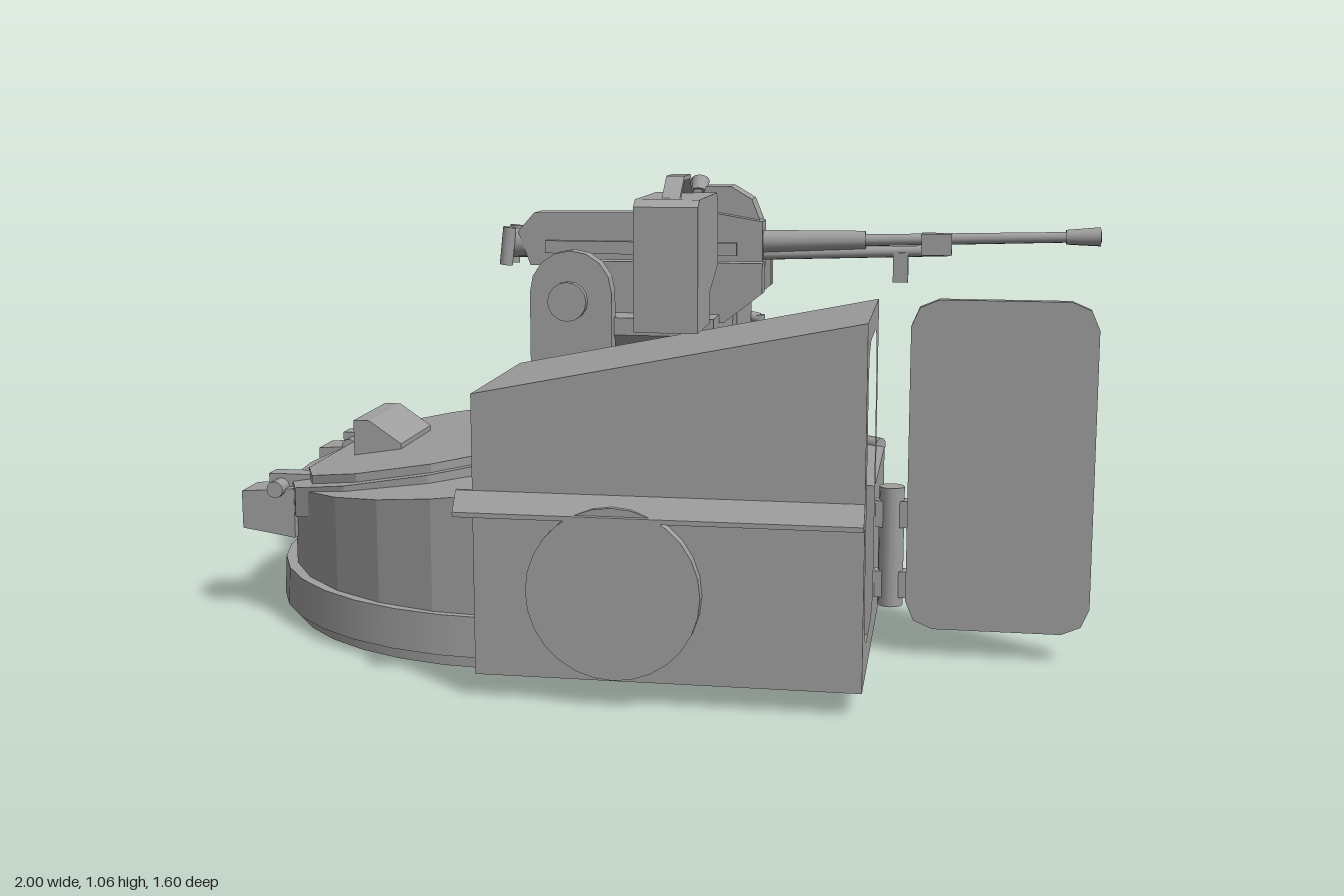
import * as THREE from 'three';

const grey = new THREE.MeshStandardMaterial({ color: 0xa0a0a0 });
grey.name = 'armour grey';

export function createModel() {
  const root = new THREE.Group();
  const add = (name, geo, x = 0, y = 0, z = 0) => {
    const m = new THREE.Mesh(geo, grey);
    m.name = name;
    m.position.set(x, y, z);
    root.add(m);
    return m;
  };
  // box given by its limits
  const box = (name, x0, x1, y0, y1, z0, z1) =>
    add(name, new THREE.BoxGeometry(x1 - x0, y1 - y0, z1 - z0), (x0 + x1) / 2, (y0 + y1) / 2, (z0 + z1) / 2);
  // cylinder between two points
  const rod = (name, a, b, r, r2 = r, n = 12) => {
    const p = new THREE.Vector3(...a), q = new THREE.Vector3(...b), d = q.clone().sub(p);
    const m = add(name, new THREE.CylinderGeometry(r2, r, d.length(), n));
    m.position.copy(p).add(q).multiplyScalar(0.5);
    m.quaternion.setFromUnitVectors(new THREE.Vector3(0, 1, 0), d.normalize());
    return m;
  };
  const poly = pts => new THREE.Shape(pts.map(p => new THREE.Vector2(...p)));
  const ext = (s, depth) => new THREE.ExtrudeGeometry(s, { depth, bevelEnabled: false });
  // outlines in (x,y), (z,y) and (x,z), extruded along the third axis
  const alongZ = (pts, z0, z1) => ext(poly(pts), z1 - z0).translate(0, 0, z0);
  const alongX = (pts, x0, x1, hole) => {
    const flip = a => a.map(([z, y]) => [-z, y]);
    const s = poly(flip(pts));
    if (hole) s.holes.push(poly(flip(hole)));
    return ext(s, x1 - x0).rotateY(Math.PI / 2).translate(x0, 0, 0);
  };
  const alongY = (pts, y0, y1) =>
    ext(poly(pts.map(([x, z]) => [x, -z])), y1 - y0).rotateX(-Math.PI / 2).translate(0, y0, 0);
  const bend = (geo, rule) => {
    const p = geo.attributes.position;
    for (let i = 0; i < p.count; i++) p.setY(i, rule(p.getX(i), p.getY(i), p.getZ(i)));
    geo.computeVertexNormals();
    return geo;
  };
  // rectangle with cut corners
  const cut = (a0, a1, b0, b1, c) => [[a0 + c, b0], [a1 - c, b0], [a1 - c * 0.3, b0 + c * 0.3], [a1, b0 + c], [a1, b1 - c],
    [a1 - c * 0.3, b1 - c * 0.3], [a1 - c, b1], [a0 + c, b1], [a0 + c * 0.3, b1 - c * 0.3], [a0, b1 - c], [a0, b0 + c], [a0 + c * 0.3, b0 + c * 0.3]];

  // turret ring
  const CX = -0.305, CZ = -0.06;
  add('baseRing', new THREE.CylinderGeometry(0.645, 0.645, 0.04, 36), CX, 0.02, CZ);
  add('turretRing', new THREE.CylinderGeometry(0.665, 0.67, 0.09, 36), CX, 0.075, CZ);

  // half-round cupola with a sloping roof
  const arc = [];
  for (let i = 0; i <= 14; i++) {
    const t = Math.PI / 2 + Math.PI * i / 14;
    arc.push([CX + 0.01 + 0.65 * Math.cos(t), CZ + 0.65 * Math.sin(t)]);
  }
  add('cupola', bend(alongY(arc, 0.1, 0.39), (x, y) => y > 0.3 ? 0.39 + (x + 0.3) * 0.13 : y));

  // tilted hatch with rim, lid and viewer
  const tilt = (geo, lift) => bend(geo, (x, y) => y + lift + (x + 0.3) * 0.16);
  add('hatchRim', tilt(alongY(cut(-0.9, -0.3, -0.48, 0.39, 0.2), 0, 0.07), 0.345));
  add('hatchLid', tilt(alongY(cut(-0.86, -0.32, -0.45, 0.36, 0.18), 0, 0.03), 0.405));
  add('hatchViewer', alongZ([[-0.78, 0.34], [-0.66, 0.36], [-0.66, 0.39], [-0.74, 0.445], [-0.78, 0.445]], -0.17, 0.08));
  for (const z of [-0.32, 0.21]) {
    add('hatchHinge', alongZ([[-1, 0.21], [-0.87, 0.19], [-0.87, 0.31], [-1, 0.3]], z - 0.05, z + 0.05));
    box('hingeArm', -0.94, -0.82, 0.29, 0.34, z - 0.025, z + 0.025);
    rod('hingePin', [-0.91, 0.31, z - 0.07], [-0.91, 0.31, z + 0.07], 0.02);
  }
  box('hatchStop', -0.895, -0.87, 0.28, 0.325, -0.26, 0.16);

  // middle hull with angled rear corner
  add('hull', alongY([[-0.3, 0.37], [0.51, 0.37], [0.51, -0.07], [0.14, -0.38], [-0.3, -0.38]], 0.05, 0.39));
  rod('hullCap', [0.5, 0.225, 0.05], [0.53, 0.225, 0.05], 0.075, 0.075, 24);
  const rear = new THREE.Group();
  rear.name = 'rearPanel';
  rear.position.set(0.325, 0.225, -0.225);
  rear.rotation.y = Math.atan2(0.31, -0.37);
  const part = (name, geo, x, y, z) => {
    const m = new THREE.Mesh(geo, grey);
    m.name = name;
    m.position.set(x, y, z);
    rear.add(m);
  };
  part('panelPlate', ext(poly(cut(-0.2, 0.2, -0.13, 0.13, 0.03)), 0.025), 0, 0, 0);
  for (const y of [-0.055, 0.055]) part('panelStrap', new THREE.BoxGeometry(0.16, 0.04, 0.03), 0.11, y, 0.035);
  root.add(rear);

  // sight housing with sloping roof and an open side
  const side = [[0.35, 0.05], [0.77, 0.05], [0.77, 0.8], [0.35, 0.8]];
  const roof = (x, y) => y > 0.79 ? 0.8 - (0.51 - x) * 0.2 : y;
  add('sightHousing', bend(alongX(side, -0.29, 0.33), roof));
  add('sightFrame', bend(alongX(side, 0.33, 0.51, cut(0.41, 0.72, 0.12, 0.75, 0.07)), roof));
  add('dripRail', alongX([[0.76, 0.44], [0.77, 0.44], [0.8, 0.4], [0.8, 0.39], [0.76, 0.39]], -0.325, 0.51));
  rod('frontDisc', [0.005, 0.24, 0.76], [0.005, 0.24, 0.798], 0.18, 0.18, 28);
  for (const z of [0.64, 0.49]) {
    rod('smallLens', [0.33, 0.56, z], [0.42, 0.56, z], 0.062, 0.06, 16);
    rod('lensGlass', [0.42, 0.56, z], [0.44, 0.56, z], 0.045, 0.035, 16);
  }
  rod('largeLensRim', [0.33, 0.31, 0.565], [0.38, 0.31, 0.565], 0.135, 0.135, 24);
  add('largeLens', new THREE.SphereGeometry(0.122, 24, 14).scale(0.7, 1, 1), 0.38, 0.31, 0.565);

  // open door
  add('door', alongZ(cut(0.58, 0.98, 0.065, 0.8, 0.06), 0.325, 0.35));
  box('doorBar', 0.76, 0.79, 0.3, 0.63, 0.305, 0.325);
  for (const y of [0.16, 0.32]) {
    box('doorHinge', 0.5, 0.59, y - 0.03, y + 0.03, 0.305, 0.34);
    box('doorStrap', 0.57, 0.79, y - 0.02, y + 0.02, 0.305, 0.33);
  }
  rod('doorPin', [0.545, 0.11, 0.32], [0.545, 0.38, 0.32], 0.028);

  // mount: floor, brackets, cradle
  box('mountFloor', -0.24, 0.14, 0.38, 0.5, -0.37, 0.21);
  const bracket = [[-0.29, 0.39], [-0.1, 0.39], [-0.1, 0.79]];
  for (let i = 1; i <= 8; i++) bracket.push([-0.195 + 0.095 * Math.cos(Math.PI * i / 8), 0.79 + 0.095 * Math.sin(Math.PI * i / 8)]);
  add('frontBracket', alongZ(bracket, 0.205, 0.25));
  add('rearBracket', alongZ(bracket, -0.37, -0.22));
  rod('trunnion', [-0.2, 0.77, -0.25], [-0.2, 0.77, 0.27], 0.045, 0.045, 16);
  add('cradle', alongX([[0.22, 0.73], [0.22, 0.69], [0.16, 0.63], [-0.07, 0.63], [-0.13, 0.69], [-0.13, 0.73]], -0.26, 0.13));
  for (const z of [0.1, -0.09]) add('cradleCheek', alongZ([[-0.28, 0.71], [0.14, 0.71], [0.23, 0.78], [0.23, 0.85], [-0.28, 0.85]], z - 0.025, z + 0.025));

  // tall shield box beside the gun
  add('shieldBox', alongX([[-0.06, 0.8], [-0.06, 0.96], [-0.21, 0.96], [-0.43, 0.79], [-0.43, 0.49], [-0.13, 0.49], [-0.13, 0.8]], 0, 0.14));

  // bent pipe behind the bracket
  const pipe = [[-0.18, 0.77, -0.34], [-0.2, 0.79, -0.39], [-0.38, 0.83, -0.4], [-0.3, 0.67, -0.4], [-0.02, 0.46, -0.4], [-0.02, 0.36, -0.36]];
  for (let i = 0; i + 1 < pipe.length; i++) {
    rod('pipe', pipe[i], pipe[i + 1], 0.045);
    if (i) add('pipeElbow', new THREE.SphereGeometry(0.045, 12, 8), ...pipe[i]);
  }

  // rear camera box on its beam
  box('rearBeam', -0.26, -0.12, 0.14, 0.31, -0.56, -0.36);
  box('rearBox', -0.26, -0.1, 0.13, 0.32, -0.8, -0.56);
  add('rearBoxWindow', alongX(cut(-0.775, -0.585, 0.15, 0.3, 0.04), -0.1, -0.092));

  // aerial and upright rear plate
  box('aerialBase', 0.1, 0.2, 0.12, 0.37, -0.49, -0.41);
  rod('aerial', [0.16, 0.36, -0.45], [0.16, 0.66, -0.45], 0.014);
  box('aerialPlate', 0.0, 0.05, 0.64, 0.88, -0.45, -0.43);
  rod('aerialStay', [0.16, 0.65, -0.45], [0.03, 0.68, -0.44], 0.014);
  rod('stowedRod', [0.17, 0.39, -0.36], [0.5, 0.39, -0.09], 0.018);

  // gun
  add('receiver', alongZ([[-0.34, 0.83], [0.22, 0.83], [0.22, 0.94], [0.1, 0.96], [-0.33, 0.955], [-0.37, 0.91]], -0.04, 0.035));
  add('topCover', alongZ([[0.06, 0.95], [0.21, 0.94], [0.19, 0.99], [0.14, 1.02], [0.08, 1.02]], -0.085, 0));
  box('receiverRail', -0.3, 0.16, 0.86, 0.89, -0.055, 0.05);
  rod('buffer', [-0.4, 0.88, 0], [-0.33, 0.88, 0], 0.035);
  for (const z of [-0.035, 0.035]) rod('grip', [-0.4, 0.83, z], [-0.39, 0.92, z], 0.016);
  rod('barrelSleeve', [0.2, 0.89, 0], [0.46, 0.897, 0], 0.028, 0.022);
  rod('barrel', [0.46, 0.897, 0], [1, 0.912, 0], 0.014, 0.012);
  rod('muzzle', [0.92, 0.91, 0], [0.998, 0.912, 0], 0.017, 0.022);
  box('barrelBand', 0.59, 0.66, 0.865, 0.915, -0.02, 0.02);
  rod('gasTube', [0.2, 0.86, 0], [0.65, 0.875, 0], 0.013);
  box('bipodLug', 0.525, 0.56, 0.8, 0.87, -0.015, 0.015);
  rod('gunSight', [0.055, 1.0, -0.06], [0.055, 1.03, -0.085], 0.022);
  box('sightPost', 0.045, 0.065, 0.95, 1.01, -0.065, -0.045);

  // ammunition can, feed and handle
  add('ammoCan', alongX([[0.465, 0.73], [0.465, 1.0], [0.44, 1.015], [0.17, 1.015], [0.15, 0.99], [0.15, 0.85], [0.28, 0.8], [0.28, 0.73]], -0.01, 0.13));
  box('feedTray', 0.01, 0.11, 0.84, 0.92, 0.03, 0.15);
  add('canHandle', alongX([[0.4, 1.01], [0.33, 1.06], [0.24, 1.06], [0.18, 1.01], [0.2, 1.01], [0.25, 1.05], [0.325, 1.05], [0.38, 1.01]], 0.04, 0.08));

  return root;
}
